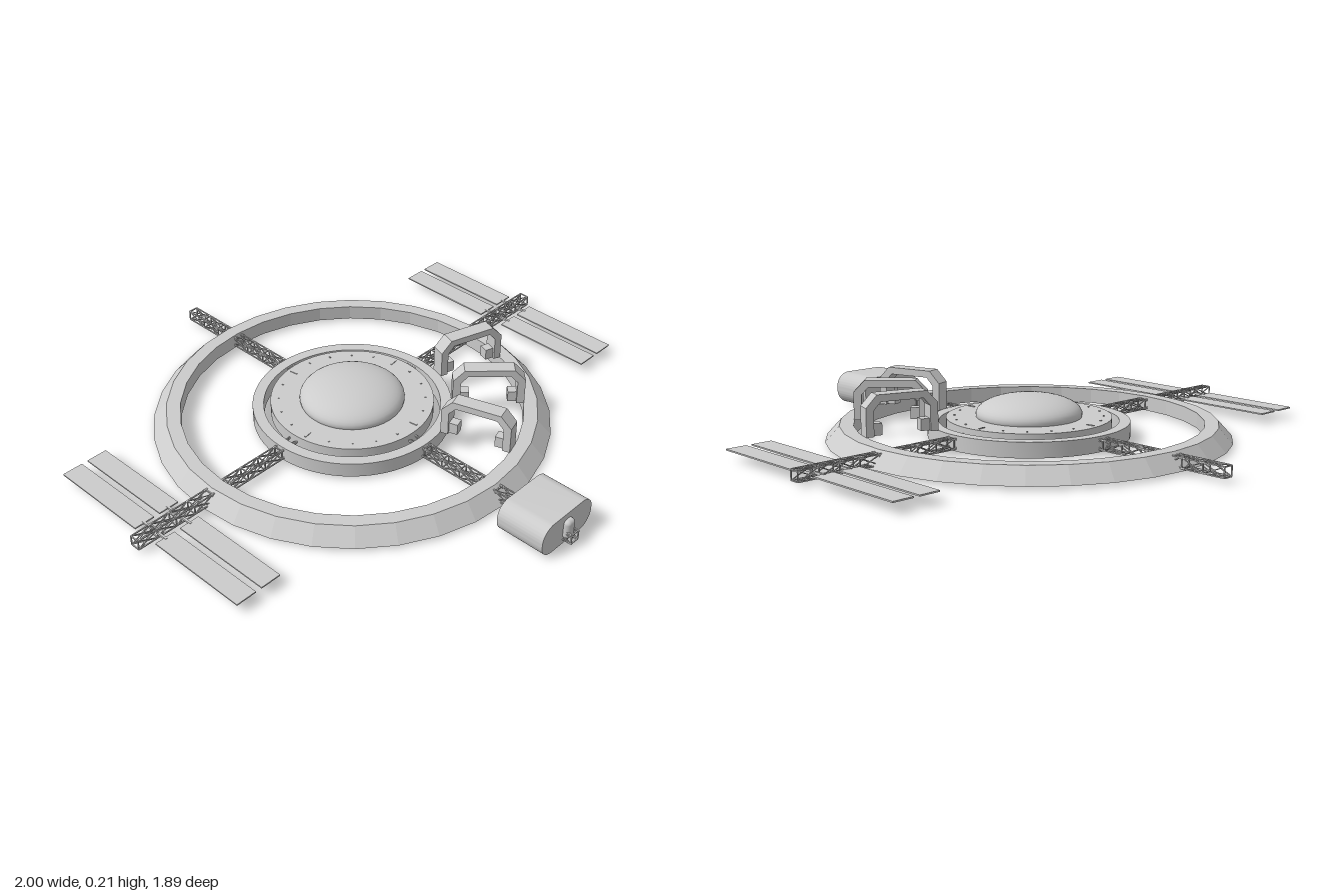
import * as THREE from 'three';
import { mergeGeometries, toCreasedNormals } from 'three/addons/utils/BufferGeometryUtils.js';
import { RoundedBoxGeometry } from 'three/addons/geometries/RoundedBoxGeometry.js';

const CZ = -0.064; // station axis
const TRUSS_Y = 0.037;

export function createModel() {
  const root = new THREE.Group();
  const mat = new THREE.MeshStandardMaterial({ color: 0xcccccc });
  const flat = new THREE.MeshStandardMaterial({ color: 0xcccccc, flatShading: true });

  const station = new THREE.Group();
  station.name = 'station';
  station.position.z = CZ;
  root.add(station);

  function add(name, geometry, parent = station, material = mat) {
    const mesh = new THREE.Mesh(geometry, material);
    mesh.name = name;
    parent.add(mesh);
    return mesh;
  }

  // Closed or solid profile of [radius, height] turned round the station axis
  function turned(points, segments) {
    const g = new THREE.LatheGeometry(points.map(p => new THREE.Vector2(...p)), segments);
    return toCreasedNormals(g, 0.5);
  }

  function box(w, h, d, x, y, z) {
    return new THREE.BoxGeometry(w, h, d).translate(x, y, z);
  }

  // Thin square bar between two points
  function bar(a, b, t) {
    const dir = b.clone().sub(a);
    const g = new THREE.BoxGeometry(t, dir.length(), t);
    g.applyQuaternion(new THREE.Quaternion().setFromUnitVectors(
      new THREE.Vector3(0, 1, 0), dir.normalize()));
    return g.translate(...a.clone().add(b).multiplyScalar(0.5).toArray());
  }

  // Outer ring with a sloping outside wall
  add('outerRing', turned([[0.62, 0.01], [0.72, 0.01], [0.67, 0.065], [0.62, 0.065], [0.62, 0.01]], 32),
    station, flat);

  // Inner ring, deck and flattened dome
  add('innerRing', turned([[0.32, 0.01], [0.36, 0.01], [0.36, 0.065], [0.32, 0.065], [0.32, 0.01]], 64));
  add('deck', turned([[0, 0.03], [0.295, 0.03], [0.295, 0.078], [0, 0.078]], 64));
  const dome = add('dome', new THREE.SphereGeometry(0.19, 40, 24));
  dome.scale.y = 0.07 / 0.19;
  dome.position.y = 0.088;

  // Small fittings round the deck
  const fittings = [];
  for (let i = 0; i < 20; i++) {
    const long = i % 5 === 0;
    fittings.push(box(long ? 0.03 : 0.006, 0.004, 0.005, 0.265, 0.079, 0)
      .rotateY(i * Math.PI / 10 + 0.15));
  }
  add('deckFittings', mergeGeometries(fittings));

  // Lattice truss running outward along +x
  function trussGeometry(r0, r1) {
    const h = 0.018, t = 0.004;
    const bays = Math.round((r1 - r0) / 0.08);
    const step = (r1 - r0) / bays;
    const corners = [[-h, -h], [h, -h], [h, h], [-h, h]];
    const at = (i, c) => new THREE.Vector3(r0 + i * step, corners[c % 4][0], corners[c % 4][1]);
    const parts = [];
    for (let c = 0; c < 4; c++) {
      parts.push(bar(at(0, c), at(bays, c), t));
      for (let i = 0; i <= bays; i++) {
        parts.push(bar(at(i, c), at(i, c + 1), t));
        if (i === bays) continue;
        parts.push(bar(at(i, c), at(i + 1, c + 1), t * 0.8));
        parts.push(bar(at(i, c + 1), at(i + 1, c), t * 0.8));
      }
    }
    return mergeGeometries(parts);
  }
  const trusses = [
    ['leftTruss', 0, 0.998], ['backTruss', 1, 0.885],
    ['rightTruss', 2, 0.998], ['frontTruss', 3, 1.0],
  ];
  for (const [name, quarter, end] of trusses) {
    const truss = add(name, trussGeometry(0.29, end));
    truss.position.y = TRUSS_Y;
    truss.rotation.y = quarter * Math.PI / 2;
  }

  // Solar panels in pairs on either side of the truss, each on a rod
  for (const x of [-0.917, -0.815, 0.829, 0.928]) {
    for (const s of [-1, 1]) {
      const panel = new THREE.Group();
      panel.name = 'solarPanel';
      panel.position.set(x, TRUSS_Y, 0);
      station.add(panel);
      add('panelBlade', box(0.078, 0.005, 0.39, 0, 0, s * 0.247), panel);
      add('panelRod', box(0.008, 0.008, 0.05, 0, 0, s * 0.036), panel);
    }
  }

  // Angular arches spanning the gap between the rings
  const outline = [[0.36, 0.065], [0.36, 0.165], [0.40, 0.208], [0.58, 0.208], [0.62, 0.165], [0.62, 0.065],
    [0.592, 0.065], [0.592, 0.155], [0.567, 0.183], [0.413, 0.183], [0.388, 0.155], [0.388, 0.065]];
  const archGeometry = new THREE.ExtrudeGeometry(
    new THREE.Shape(outline.map(p => new THREE.Vector2(...p))),
    { depth: 0.054, bevelEnabled: false }).translate(0, 0, -0.027);
  for (const degrees of [17.5, 45, 72.5]) {
    const arch = new THREE.Group();
    arch.name = 'arch';
    arch.rotation.y = -THREE.MathUtils.degToRad(degrees);
    station.add(arch);
    add('archFrame', archGeometry, arch);
    for (const r of [0.403, 0.577]) add('archFoot', box(0.034, 0.042, 0.036, r, 0.088, 0), arch);
  }

  // Docking pod: rounded section drawn out along z
  const w = 0.13, h = 0.061, r = 0.055;
  const section = new THREE.Shape();
  section.moveTo(-w + r, -h);
  section.lineTo(w - r, -h);
  section.absarc(w - r, -h + r, r, -Math.PI / 2, 0);
  section.absarc(w - r, h - r, r, 0, Math.PI / 2);
  section.absarc(-w + r, h - r, r, Math.PI / 2, Math.PI);
  section.absarc(-w + r, -h + r, r, Math.PI, Math.PI * 1.5);
  const podGeometry = new THREE.ExtrudeGeometry(section, { depth: 0.185, bevelEnabled: false, curveSegments: 8 });
  const pod = new THREE.Group();
  pod.name = 'pod';
  pod.position.set(0, 0.061, 0.718);
  root.add(pod);
  add('podHull', toCreasedNormals(podGeometry, 0.6), pod);
  const hatch = add('podHatches', new RoundedBoxGeometry(0.042, 0.075, 0.226, 3, 0.015), pod);
  hatch.position.set(0, 0, 0.0925);

  return root;
}
